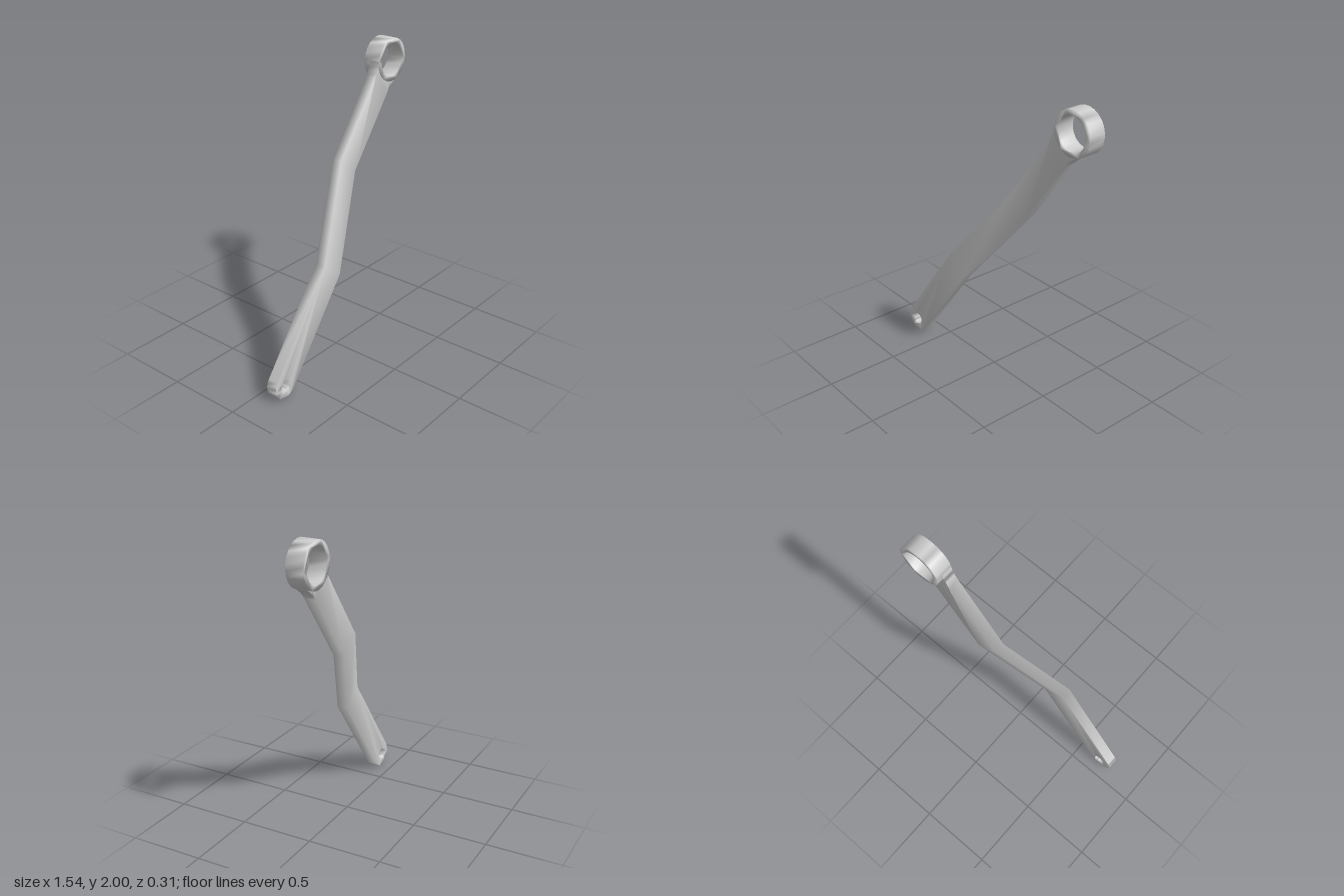
import * as THREE from 'three';
import { mergeVertices } from 'three/addons/utils/BufferGeometryUtils.js';

// The arm is laid out along local x from the small eye (0, 0) to the ring (L, 0)
const EYE = new THREE.Vector2(-0.682, 0.091);
const RING = new THREE.Vector2(0.627, 1.855);
const L = EYE.distanceTo(RING);
const TILT = Math.atan2(RING.y - EYE.y, RING.x - EYE.x);
const W = 0.091, THICK = 0.073;            // half width and thickness of the bar
const BEND1 = 0.771, BEND2 = 1.437;        // where the bar cranks backwards
const Z_LOW = 0.081, Z_HIGH = -0.113;      // back face before and after the crank
const R = 0.145, R_HOLE = 0.11, EYE_HOLE = 0.041;

// Points on an arc, angles in degrees
function arc(cx, r, from, to, n) {
  return Array.from({ length: n + 1 }, (_, i) => {
    const a = THREE.MathUtils.degToRad(from + (to - from) * i / n);
    return new THREE.Vector2(cx + r * Math.cos(a), r * Math.sin(a));
  });
}

function extrude(outline, depth, hole) {
  const shape = new THREE.Shape(outline);
  if (hole) shape.holes.push(new THREE.Path(hole));
  return new THREE.ExtrudeGeometry(shape, { depth, bevelEnabled: false });
}

// Weld corners for smooth shading, then tilt into place
function finish(name, positions) {
  let g = new THREE.BufferGeometry();
  g.setAttribute('position', new THREE.Float32BufferAttribute(positions, 3));
  g = mergeVertices(g, 1e-4);
  g.computeVertexNormals();
  g.rotateZ(TILT).translate(EYE.x, EYE.y, 0);
  const mesh = new THREE.Mesh(g, new THREE.MeshStandardMaterial({ color: 0xcccccc }));
  mesh.name = name;
  return mesh;
}

function makeArm() {
  const v = (x, y) => new THREE.Vector2(x, y);
  // Flared fillet where the bar meets the ring
  const flare = (side) => new THREE.QuadraticBezierCurve(
    v(L - 0.2, side * W), v(L - 0.13, side * W),
    v(L - R * 0.5, side * R * Math.sqrt(0.75))).getPoints(5);

  const lower = [v(BEND1, -W), v(BEND1, W), ...arc(0, W, 90, 270, 12)];
  const middle = [v(BEND1, -W), v(BEND2, -W), v(BEND2, W), v(BEND1, W)];
  const upper = [v(BEND2, -W), ...flare(-1),
    ...arc(L, R, 240, 120, 8).slice(1, -1), ...flare(1).reverse(), v(BEND2, W)];

  const pieces = [
    extrude(lower, THICK, arc(0, EYE_HOLE, 0, 345, 23)),
    extrude(middle, THICK),
    extrude(upper, THICK),
  ];

  // Join the pieces, leaving out the walls hidden at each joint
  const out = [];
  const near = (a, b) => Math.abs(a - b) < 1e-4;
  for (const piece of pieces) {
    const p = piece.attributes.position;
    for (let i = 0; i < p.count; i += 3) {
      const tri = [0, 1, 2].map((k) => new THREE.Vector3().fromBufferAttribute(p, i + k));
      const flatWall = tri.every((c) => near(c.z, tri[0].z));
      const hidden = !flatWall && (
        tri.every((c) => near(c.x, BEND1)) || tri.every((c) => near(c.x, BEND2)) ||
        tri.every((c) => near(Math.hypot(c.x - L, c.y), R)));
      if (hidden) continue;
      for (const c of tri) {
        const t = THREE.MathUtils.clamp((c.x - BEND1) / (BEND2 - BEND1), 0, 1);
        out.push(c.x, c.y, c.z + THREE.MathUtils.lerp(Z_LOW, Z_HIGH, t));
      }
    }
  }
  return finish('crankedArm', out);
}

function makeRing() {
  const g = extrude(arc(L, R, 0, 345, 23), 0.114, arc(L, R_HOLE, 0, 345, 23));
  g.translate(0, 0, -0.154);
  return finish('endRing', Array.from(g.attributes.position.array));
}

export function createModel() {
  const model = new THREE.Group();
  model.name = 'leverArm';
  model.add(makeArm(), makeRing());
  return model;
}
